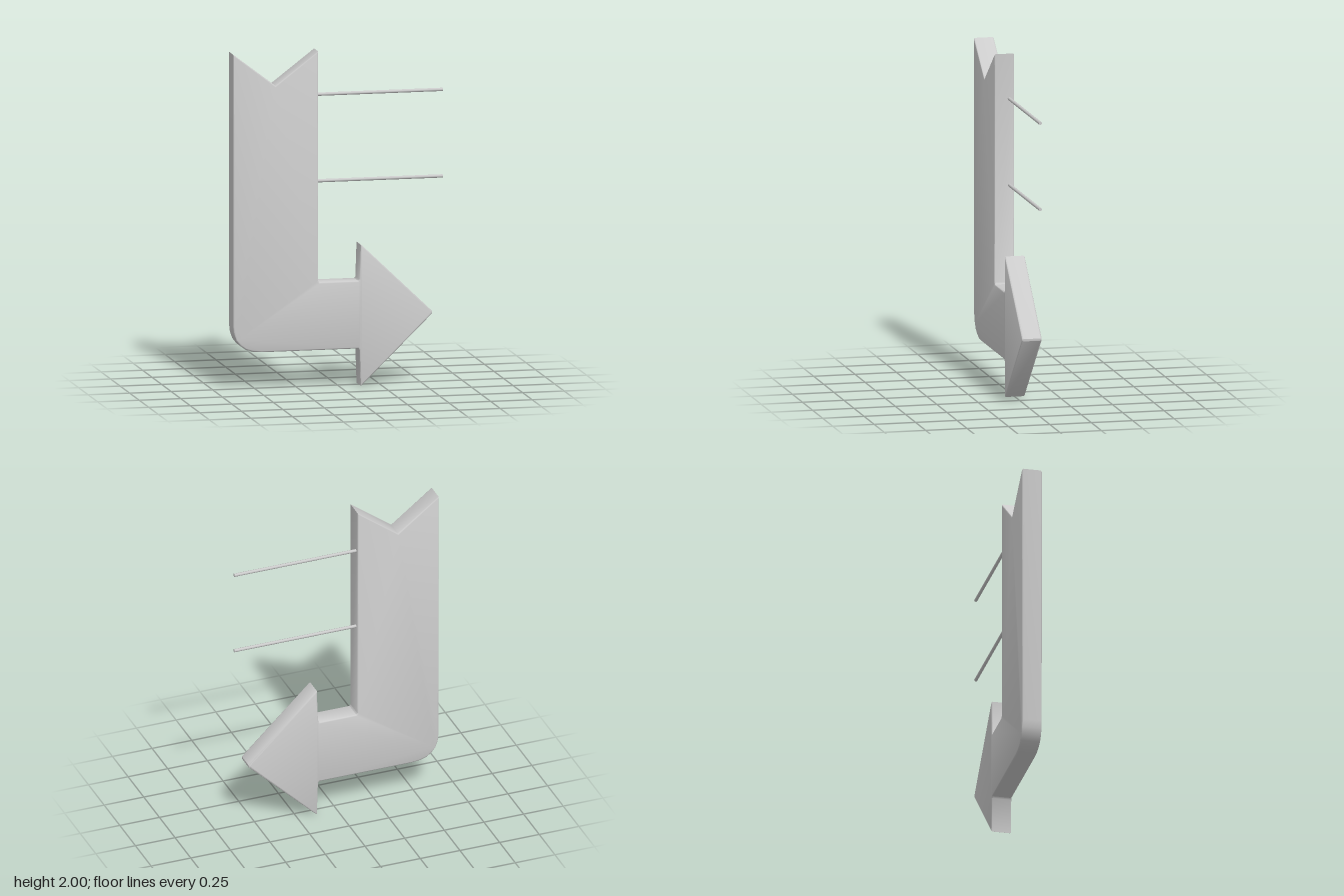
import * as THREE from 'three';
import { toCreasedNormals } from 'three/addons/utils/BufferGeometryUtils.js';

const material = new THREE.MeshStandardMaterial({ color: 0xcccccc });

// Bent arrow outline: notched tail, rounded elbow, pointed head
function arrowShape() {
  const s = new THREE.Shape();
  s.moveTo(-0.64, 2);
  s.lineTo(-0.64, 0.38);
  s.bezierCurveTo(-0.64, 0.28, -0.58, 0.222, -0.47, 0.222);
  s.lineTo(0.112, 0.222);
  s.lineTo(0.12, 0.212);
  s.lineTo(0.127, 0);
  s.lineTo(0.136, 0.004);
  s.lineTo(0.558, 0.414);
  s.lineTo(0.558, 0.428);
  s.lineTo(0.136, 0.835);
  s.lineTo(0.127, 0.84);
  s.lineTo(0.12, 0.634);
  s.lineTo(0.112, 0.625);
  s.lineTo(-0.12, 0.625);
  s.lineTo(-0.128, 0.634);
  s.lineTo(-0.128, 2);
  s.lineTo(-0.385, 1.805);
  s.closePath();
  return s;
}

export function createModel() {
  const model = new THREE.Group();
  model.name = 'arrowSign';

  // Thick arrow panel with softened edges
  const bevel = 0.008;
  const panel = new THREE.ExtrudeGeometry(arrowShape(), {
    depth: 0.12 - 2 * bevel,
    curveSegments: 6,
    bevelThickness: bevel,
    bevelSize: bevel,
    bevelOffset: -bevel,
    bevelSegments: 2,
  });
  panel.translate(0, 0, -0.06 + bevel);
  const arrow = new THREE.Mesh(toCreasedNormals(panel, 0.8), material);
  arrow.name = 'arrowPanel';
  model.add(arrow);

  // Two mounting rods reaching sideways from the shaft
  const rod = new THREE.CylinderGeometry(0.01, 0.01, 0.775, 8);
  rod.rotateZ(Math.PI / 2);
  [['upperRod', 1.73], ['lowerRod', 1.215]].forEach(([name, y]) => {
    const mesh = new THREE.Mesh(rod, material);
    mesh.name = name;
    mesh.position.set(0.2525, y, -0.03);
    model.add(mesh);
  });

  return model;
}
